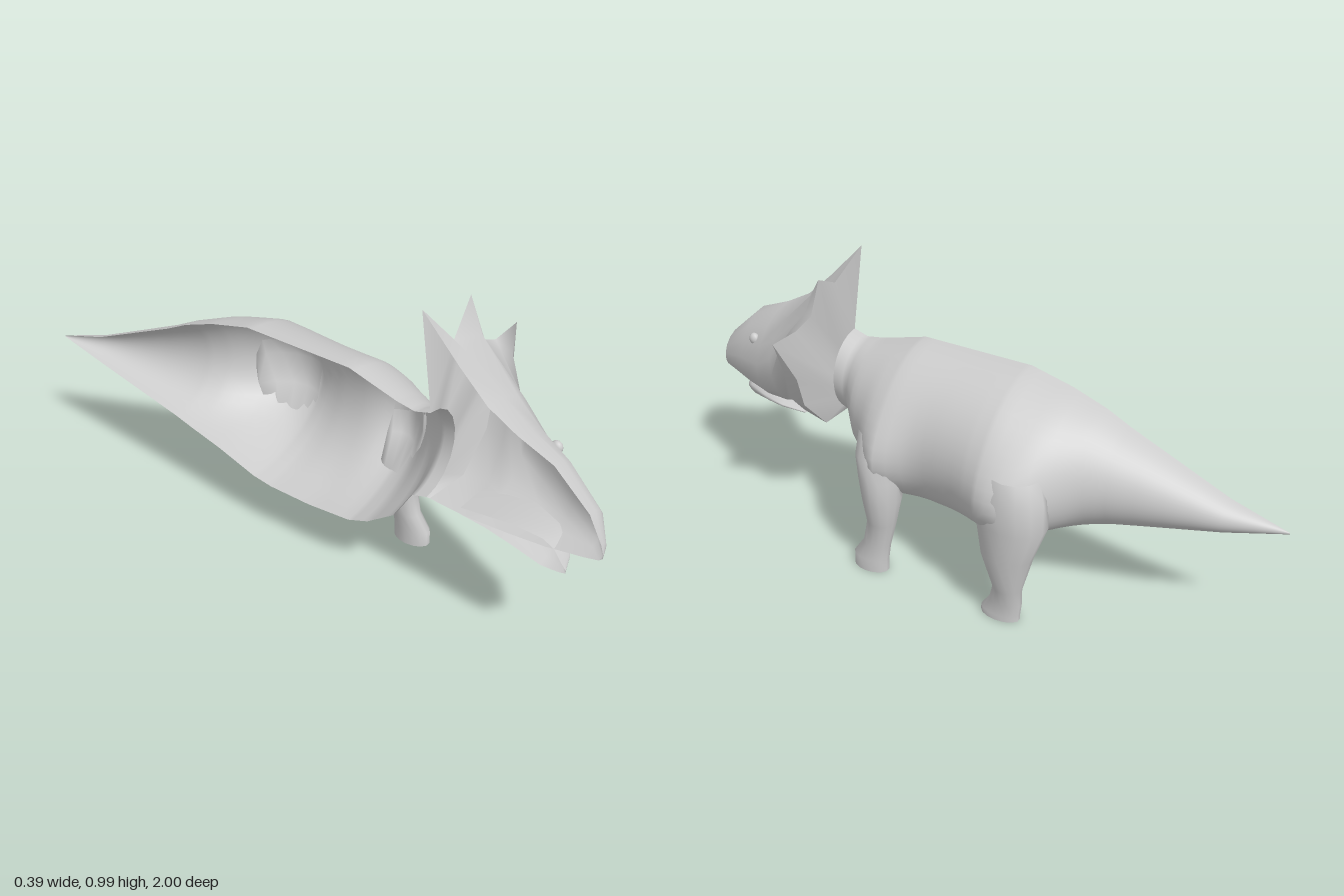
import * as THREE from 'three';

const MID = -0.2;   // cut plane of the half body

// Half ring from the top midline, round the side, to the bottom midline
function halfRing([z, top, bottom, width, widest = 0.5, fullness = 1], n = 10) {
  const ym = bottom + (top - bottom) * widest;
  return Array.from({ length: n }, (_, j) => {
    const a = Math.PI * j / (n - 1), c = Math.cos(a);
    const s = j === n - 1 ? 0 : Math.sin(a);
    const x = width * (c > 0 ? s : s ** fullness);
    return [MID + x, ym + c * (c > 0 ? top - ym : ym - bottom), z];
  });
}

// Skin between rows of points
function loft(rows, closed = false) {
  const n = rows[0].length, index = [];
  for (let i = 0; i < rows.length - 1; i++) {
    for (let j = 0; j < (closed ? n : n - 1); j++) {
      const k = (j + 1) % n;
      const a = i * n + j, b = i * n + k, c = a + n, d = b + n;
      index.push(a, b, c, b, d, c);
    }
  }
  const g = new THREE.BufferGeometry();
  g.setAttribute('position', new THREE.Float32BufferAttribute(rows.flat(2), 3));
  g.setIndex(index);
  g.computeVertexNormals();
  return g;
}

// z, top, bottom, width
const bodyRows = [
  [0.47, 0.69, 0.415, 0.13], [0.42, 0.675, 0.4, 0.14],
  [0.36, 0.685, 0.3, 0.2], [0.27, 0.71, 0.235, 0.245],
  [0.2, 0.73, 0.208, 0.26], [0.05, 0.73, 0.195, 0.275],
  [-0.1, 0.73, 0.195, 0.295], [-0.17, 0.73, 0.205, 0.295],
  [-0.31, 0.695, 0.25, 0.255], [-0.42, 0.655, 0.278, 0.195],
  [-0.5, 0.615, 0.3, 0.165], [-0.82, 0.475, 0.372, 0.07],
  [-1, 0.42, 0.415, 0],
];

// Shoulder and thigh muscles: centre height and depth, spread of each, swelling
const muscles = [[0.4, 0.21, 0.17, 0.08, 0.07], [0.38, -0.25, 0.18, 0.125, 0.09]];

// Swelling of the flank, fading towards the midline
function swell(x, y, z) {
  const fade = Math.min(1, (x - MID) / 0.18);
  return muscles.reduce((sum, [y0, z0, sy, sz, amount]) =>
    sum + fade * amount * Math.exp(-(((y - y0) / sy) ** 2) - ((z - z0) / sz) ** 2), 0);
}

const mix = (p, q, t) => p.map((v, k) => v + (q[k] - v) * t);

// Side of the body at a height and depth
function bodyX(y, z) {
  const i = bodyRows.findIndex((r, k) => k > 0 && z >= r[0]);
  const p = bodyRows[i - 1], q = bodyRows[i];
  const [, top, bottom, w] = mix(p, q, (p[0] - z) / (p[0] - q[0]));
  const u = (2 * y - top - bottom) / (top - bottom);
  const x = MID + w * Math.sqrt(Math.max(0, 1 - u * u));
  return x + swell(x, y, z);
}

function bodyGeometry() {
  const steps = 4, rows = [];
  for (let i = 0; i < bodyRows.length - 1; i++) {
    for (let k = 0; k < steps; k++) rows.push(mix(bodyRows[i], bodyRows[i + 1], k / steps));
  }
  rows.push(bodyRows[bodyRows.length - 1]);
  return loft(rows.map(r => halfRing(r, 24).map(([x, y, z]) => [x + swell(x, y, z), y, z])));
}

// Leg rows: y, centre x, centre z, radius x, radius z; the upper leg lies under the flank
function legGeometry(rows) {
  const sides = 14;
  const rings = rows.map(([y, cx, cz, rx, rz]) => Array.from({ length: sides }, (_, j) => {
    const a = 2 * Math.PI * j / sides;
    const x = cx + rx * Math.cos(a), z = cz + rz * Math.sin(a);
    return [y > 0.24 ? Math.max(x, bodyX(y, z) - 0.01) : x, y, z];
  }));
  const sole = rings[rings.length - 1];
  const [y, cx, cz] = rows[rows.length - 1];
  rings.push(sole.map(p => [...p]), sole.map(() => [cx, y, cz]));
  return loft(rings, true);
}

export function createModel() {
  const model = new THREE.Group();
  const skin = new THREE.MeshStandardMaterial({ color: 0xcccccc });
  skin.name = 'greySkin';
  skin.side = THREE.DoubleSide;
  const add = (name, geometry) => {
    const mesh = new THREE.Mesh(geometry, skin);
    mesh.name = name;
    model.add(mesh);
    return mesh;
  };

  // Trunk and tapering tail
  add('bodyAndTail', bodyGeometry());

  // Legs
  add('frontLeg', legGeometry([
    [0.5, 0.02, 0.235, 0.06, 0.07], [0.43, 0.045, 0.225, 0.073, 0.075],
    [0.36, 0.055, 0.215, 0.073, 0.07], [0.28, 0.06, 0.208, 0.07, 0.062],
    [0.19, 0.06, 0.212, 0.048, 0.049], [0.1, 0.065, 0.23, 0.036, 0.048],
    [0.045, 0.068, 0.251, 0.038, 0.063], [0, 0.068, 0.252, 0.039, 0.063],
  ]));
  add('hindLeg', legGeometry([
    [0.52, 0.04, -0.25, 0.09, 0.09], [0.46, 0.06, -0.255, 0.094, 0.11],
    [0.36, 0.07, -0.262, 0.083, 0.108], [0.25, 0.085, -0.25, 0.064, 0.085],
    [0.12, 0.08, -0.254, 0.042, 0.047], [0.06, 0.075, -0.246, 0.036, 0.054],
    [0.02, 0.075, -0.23, 0.036, 0.066], [0, 0.075, -0.23, 0.036, 0.066],
  ]));

  // Frill: the base line on the face and the spiked rim
  const frillBase = [
    [MID, 0.86, 0.55], [-0.12, 0.857, 0.52], [-0.03, 0.865, 0.51], [-0.01, 0.81, 0.52],
    [0.05, 0.78, 0.53], [0.11, 0.75, 0.53], [0.07, 0.63, 0.555], [0.035, 0.52, 0.565],
    [-0.05, 0.43, 0.58], [MID, 0.408, 0.6],
  ];
  const frillRim = [
    [MID, 0.985, 0.43], [-0.12, 0.88, 0.48], [0.01, 0.947, 0.445], [0.012, 0.82, 0.48],
    [0.08, 0.795, 0.49], [0.192, 0.8, 0.49], [0.085, 0.63, 0.495], [0.05, 0.52, 0.5],
    [-0.045, 0.41, 0.49], [MID, 0.415, 0.48],
  ];

  // Face from snout to frill, fuller along the cheeks
  const faceRows = [
    [1, 0.475, 0.465, 0], [0.99, 0.505, 0.455, 0.035, 0.45, 0.6],
    [0.95, 0.58, 0.445, 0.09, 0.4, 0.6], [0.84, 0.68, 0.425, 0.14, 0.38, 0.6],
    [0.73, 0.725, 0.415, 0.195, 0.42, 0.7], [0.64, 0.775, 0.41, 0.236, 0.55, 0.85],
  ];
  add('headAndFrill', loft([...faceRows.map(r => halfRing(r)), frillBase, frillRim]));
  add('frillBack', loft([frillRim, halfRing(bodyRows[0])]));

  // Lower jaw, closing against the cheek behind the mouth
  add('lowerJaw', loft([
    [0.905, 0.378, 0.368, 0], [0.89, 0.395, 0.364, 0.05, 0.8],
    [0.865, 0.43, 0.361, 0.085, 0.85], [0.83, 0.447, 0.36, 0.11, 0.8],
    [0.74, 0.45, 0.383, 0.15, 0.75], [0.66, 0.44, 0.4, 0.165, 0.75],
    [0.58, 0.43, 0.408, 0.15],
  ].map(r => halfRing(r))));

  // Eye
  const eye = add('eye', new THREE.SphereGeometry(0.02, 14, 10));
  eye.position.set(-0.063, 0.635, 0.775);
  eye.scale.set(0.75, 1, 0.9);

  return model;
}
